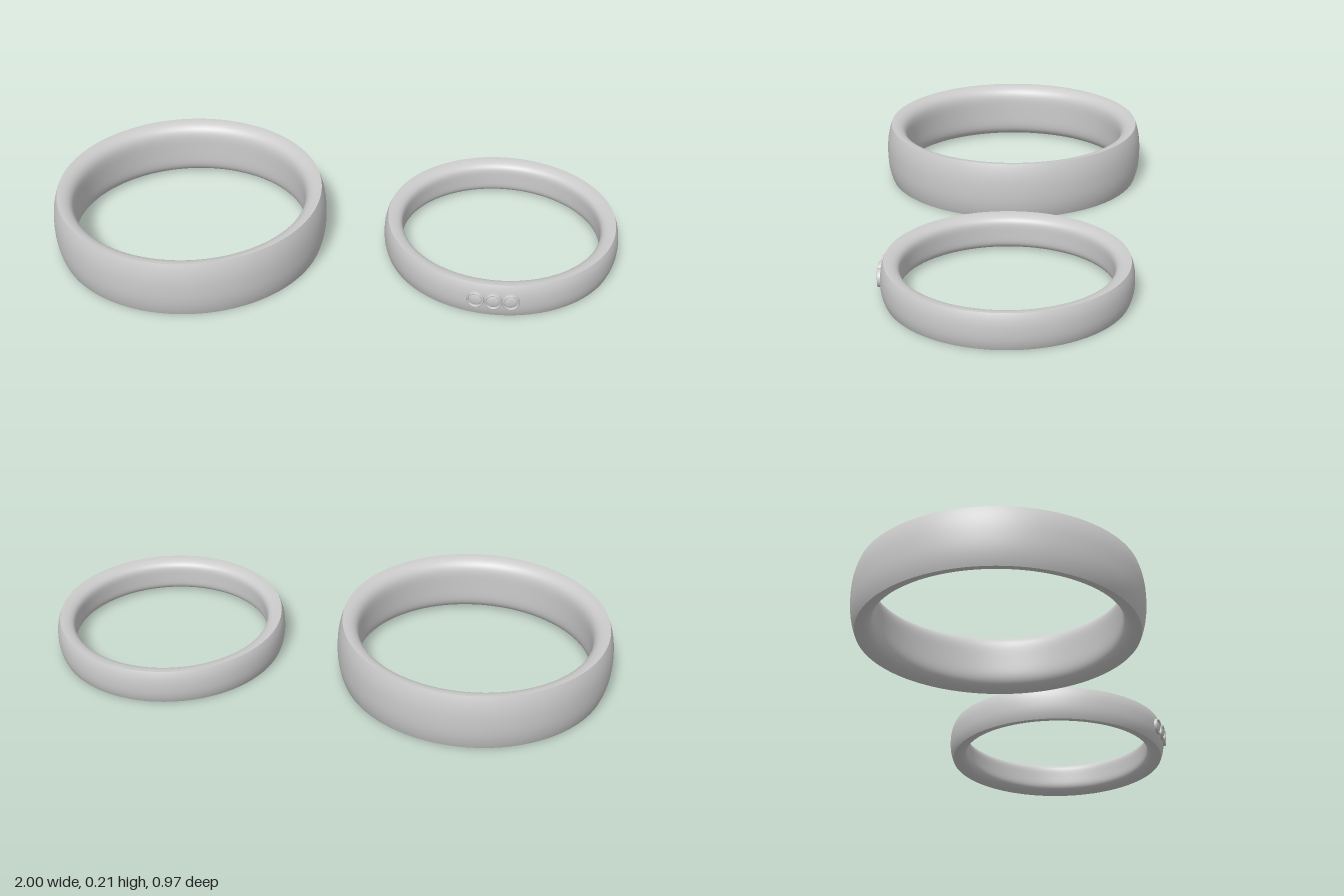
import * as THREE from 'three';

const material = new THREE.MeshStandardMaterial({ color: 0xcccccc });

// Lathe of several smooth strips, so the rim edges between them stay sharp
function band(name, outer, edge, inner, height) {
  const group = new THREE.Group();
  group.name = name;
  const n = 16, mid = height / 2;
  const outside = [], inside = [];
  for (let i = 0; i <= n; i++) {
    // gently domed outer wall, steeper near the rims
    const a = (i / n - 0.5) * Math.PI;
    const t = Math.sin(a);
    outside.push(new THREE.Vector2(edge + (outer - edge) * (1 - Math.abs(t) ** 2.4), mid + mid * t));
  }
  for (let i = 0; i <= 2 * n; i++) {
    // comfort-fit inner wall: rounded rims flowing into a nearly straight bore
    const t = Math.cos((i / (2 * n)) * Math.PI);
    const k = Math.sqrt(Math.max(0, 1 - Math.abs(t) ** 5));
    inside.push(new THREE.Vector2(edge - (edge - inner) * k, mid + mid * t));
  }
  [['outerWall', outside], ['innerWall', inside]].forEach(([part, profile]) => {
    const mesh = new THREE.Mesh(new THREE.LatheGeometry(profile, 128), material);
    mesh.name = part;
    group.add(mesh);
  });
  return group;
}

// Round stone in a raised collar, facing +z
function setStone() {
  const group = new THREE.Group();
  group.name = 'setStone';
  const collar = new THREE.Mesh(new THREE.LatheGeometry([
    [0.03, -0.012], [0.03, 0.006], [0.028, 0.009], [0.025, 0.009], [0.023, 0.006], [0.023, -0.006],
  ].map(([x, y]) => new THREE.Vector2(x, y)), 32), material);
  collar.name = 'collar';
  const stone = new THREE.Mesh(new THREE.LatheGeometry([
    [0.0235, 0.002], [0.014, 0.007], [0, 0.007],
  ].map(([x, y]) => new THREE.Vector2(x, y)), 24), material);
  stone.name = 'stone';
  collar.rotation.x = stone.rotation.x = Math.PI / 2;
  group.add(collar, stone);
  return group;
}

export function createModel() {
  const model = new THREE.Group();
  model.name = 'ringPair';

  const wide = band('wideRing', 0.484, 0.467, 0.408, 0.207);
  wide.position.x = -0.516;

  const narrow = band('narrowRing', 0.412, 0.4, 0.347, 0.124);
  narrow.position.set(0.587, 0, 0.049);

  // three stones in a row along the front, a little off centre
  [-0.11, -0.051, 0.008].forEach((x) => {
    const stone = setStone();
    const angle = Math.asin(x / 0.412);
    stone.position.set(x, 0.066, 0.412 * Math.cos(angle));
    stone.rotation.y = angle;
    narrow.add(stone);
  });

  model.add(wide, narrow);
  return model;
}
